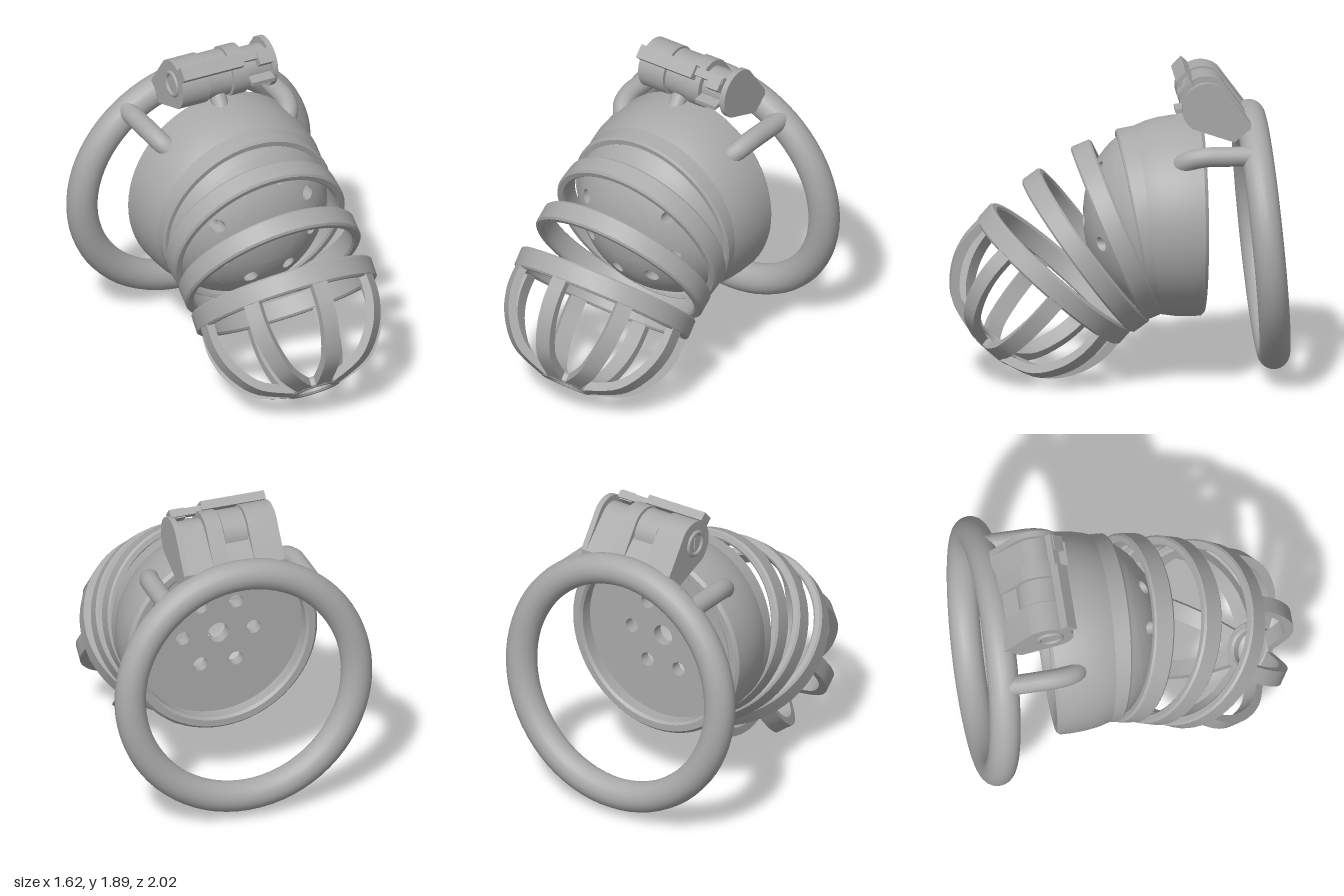
import * as THREE from 'three';
import { mergeGeometries, toCreasedNormals } from 'three/addons/utils/BufferGeometryUtils.js';
import { ParametricGeometry } from 'three/addons/geometries/ParametricGeometry.js';

const V2 = (x, y) => new THREE.Vector2(x, y);
const V3 = (x, y, z) => new THREE.Vector3(x, y, z);

export function createModel() {
  const model = new THREE.Group();
  const grey = new THREE.MeshStandardMaterial({ color: 0xa9a9a9, side: THREE.DoubleSide });
  grey.name = 'grey';

  const add = (name, geo, parent = model, pos = [0, 0, 0], tilt = 0) => {
    const mesh = new THREE.Mesh(geo, grey);
    mesh.name = name;
    mesh.position.set(...pos);
    mesh.rotation.x = tilt;
    parent.add(mesh);
    return mesh;
  };

  // Revolve [radius, z] points about the z axis
  const lathe = (pts, segs = 64) => toCreasedNormals(
    new THREE.LatheGeometry(pts.map(p => V2(...p)), segs).rotateX(Math.PI / 2), 0.6);

  // Flat hoop with softened edges
  const hoop = (inner, outer, z0, z1, c = 0.012) => lathe([
    [inner, z0 + c], [inner + c, z0], [outer - c, z0], [outer, z0 + c], [outer, z1 - c],
    [outer - c, z1], [inner + c, z1], [inner, z1 - c], [inner, z0 + c]]);

  // Rear ring
  add('baseRing', new THREE.TorusGeometry(0.718, 0.094, 20, 72), model, [0, 0.87, -0.845], 0.09);

  // Cup: rim and domed shell
  const cup = new THREE.Group();
  cup.name = 'cup';
  cup.position.y = 0.995;
  model.add(cup);
  const domeZ = r => -0.4 + 0.62 * Math.pow(Math.max(0, 1 - Math.pow(r / 0.605, 2.2)), 1 / 2.2);
  const shell = [[0.53, -0.38], [0.53, -0.475], [0.545, -0.49], [0.585, -0.49], [0.603, -0.47], [0.605, -0.4]];
  for (const r of [0.602, 0.59, 0.57, 0.54, 0.5, 0.47, 0.44]) shell.push([r, domeZ(r)]);
  add('cupShell', lathe(shell), cup);
  const nose = [0.22, 0.18, 0.14, 0.1, 0.06].map(r => [r, domeZ(r)]);
  nose.push([0.06, 0.12]);
  add('cupNose', lathe(nose), cup);

  // Perforated belt of the dome: eight wedges, each blended around a round hole
  const wedges = [];
  for (let k = 0; k < 8; k++) {
    const mid = THREE.MathUtils.degToRad(29 + 45 * k);
    wedges.push(new ParametricGeometry((u, v, out) => {
      const t = u * Math.PI * 2, c = Math.cos(t), s = Math.sin(t);
      const m = Math.max(Math.abs(c), Math.abs(s));
      const f = Math.max(0, (v - 0.2) / 0.8);
      const r = 0.33 + THREE.MathUtils.lerp(0.042 * c, 0.11 * c / m, f);
      const a = mid + THREE.MathUtils.lerp(0.042 * s / 0.33, Math.PI / 8 * s / m, f);
      out.set(r * Math.cos(a), r * Math.sin(a), domeZ(r) - (v < 0.1 ? 0.09 : 0));
    }, 32, 5));
  }
  add('perforatedBelt', toCreasedNormals(mergeGeometries(wedges), 0.7), cup);

  // Recessed back plate with seven holes
  const plate = new THREE.Shape().absarc(0, 0, 0.535, 0, Math.PI * 2);
  for (let k = 0; k < 7; k++) {
    const a = k * Math.PI / 3, d = k < 6 ? 0.225 : 0;
    plate.holes.push(new THREE.Path().absarc(d * Math.cos(a), d * Math.sin(a), k < 6 ? 0.044 : 0.065, 0, Math.PI * 2, true));
  }
  add('backPlate', new THREE.ExtrudeGeometry(plate, { depth: 0.07, bevelEnabled: false, curveSegments: 32 }), cup, [0, 0, -0.4]);

  // Fanned hoops: centre y, centre z, tilt
  for (const [y, z, tilt] of [[0.97, -0.14, 0.18], [0.91, 0.02, 0.393], [0.79, 0.205, 0.63]])
    add('cageHoop', hoop(0.51, 0.565, -0.065, 0.065), model, [0, y, z], tilt);

  // Front basket
  const basket = new THREE.Group();
  basket.name = 'frontBasket';
  basket.position.set(0, 0.65, 0.39);
  basket.rotation.x = 0.85;
  model.add(basket);
  add('basketHoop', hoop(0.51, 0.565, -0.065, 0.065), basket);
  add('tipRing', hoop(0.108, 0.165, 0.535, 0.6), basket);
  const outer = new THREE.SplineCurve([V2(0.56, 0.03), V2(0.56, 0.2), V2(0.5, 0.37), V2(0.365, 0.52), V2(0.14, 0.6)]);
  const inner = new THREE.SplineCurve([V2(0.14, 0.545), V2(0.335, 0.475), V2(0.455, 0.34), V2(0.51, 0.19), V2(0.512, 0.03)]);
  const rib = new THREE.Shape([...outer.getPoints(18), ...inner.getPoints(18)]);
  const swap = new THREE.Matrix4().makeBasis(V3(0, 1, 0), V3(0, 0, 1), V3(1, 0, 0));
  for (let k = 0; k < 8; k++) {
    const geo = new THREE.ExtrudeGeometry(rib, { depth: 0.1, bevelEnabled: false });
    geo.translate(0, 0, -0.05).applyMatrix4(swap).rotateZ(k * Math.PI / 4);
    add('basketRib', toCreasedNormals(geo, 0.6), basket);
  }

  // Side arms from the ring to the cup
  for (const s of [-1, 1]) {
    const path = new THREE.CatmullRomCurve3([V3(s * 0.455, 1.46, -0.82), V3(s * 0.455, 1.46, -0.62),
      V3(s * 0.45, 1.455, -0.46), V3(s * 0.425, 1.425, -0.37), V3(s * 0.36, 1.36, -0.31)]);
    add('sideArm', new THREE.TubeGeometry(path, 24, 0.06, 16), model);
  }

  // Lock housing: teardrop section extruded across x
  const lock = new THREE.Group();
  lock.name = 'lockHousing';
  model.add(lock);
  const housing = (name, radius, x0, x1) => {
    const s = new THREE.Shape();
    s.absarc(0.5, 1.73, radius, 0.82, 4.1);
    s.lineTo(0.66, 1.52);
    s.lineTo(0.76, 1.6);
    s.lineTo(0.76, 1.63);
    const geo = new THREE.ExtrudeGeometry(s, { depth: x1 - x0, bevelEnabled: false, curveSegments: 28 });
    add(name, toCreasedNormals(geo.rotateY(Math.PI / 2).translate(x0, 0, 0), 0.5), lock);
  };
  housing('housingLeft', 0.153, 0.05, 0.15);
  housing('housingNotch', 0.115, 0.15, 0.31);
  housing('housingEnd', 0.153, 0.31, 0.345);
  housing('housingRight', 0.153, -0.295, -0.11);
  housing('housingCore', 0.1, -0.11, 0.05);
  add('hingeKnuckle', toCreasedNormals(new THREE.CylinderGeometry(0.142, 0.142, 0.145, 40).rotateZ(Math.PI / 2), 0.5),
    lock, [-0.03, 1.73, -0.5]);

  // Latch bar, latch tongue and catch pieces on the housing front
  add('latchBar', new THREE.BoxGeometry(0.405, 0.085, 0.055), lock, [-0.0925, 1.855, -0.375], -0.75);
  add('latchTongue', new THREE.BoxGeometry(0.2, 0.05, 0.045), lock, [0.21, 1.85, -0.395], -0.75);
  add('latchBlock', new THREE.BoxGeometry(0.09, 0.08, 0.06), lock, [0.26, 1.83, -0.375], -0.75);
  add('catchLip', new THREE.BoxGeometry(0.15, 0.025, 0.07), lock, [0.23, 1.71, -0.345], 0.15);

  // Keyway on the end face
  add('keywayRim', new THREE.TorusGeometry(0.07, 0.014, 10, 32).rotateY(Math.PI / 2), lock, [-0.295, 1.74, -0.49]);
  add('keywaySlot', new THREE.BoxGeometry(0.008, 0.07, 0.02), lock, [-0.298, 1.74, -0.49]);

  // Peg joining the cup to the hinge
  add('hingePeg', new THREE.CapsuleGeometry(0.05, 0.12, 8, 16), model, [-0.03, 1.61, -0.4], -0.7);

  return model;
}
